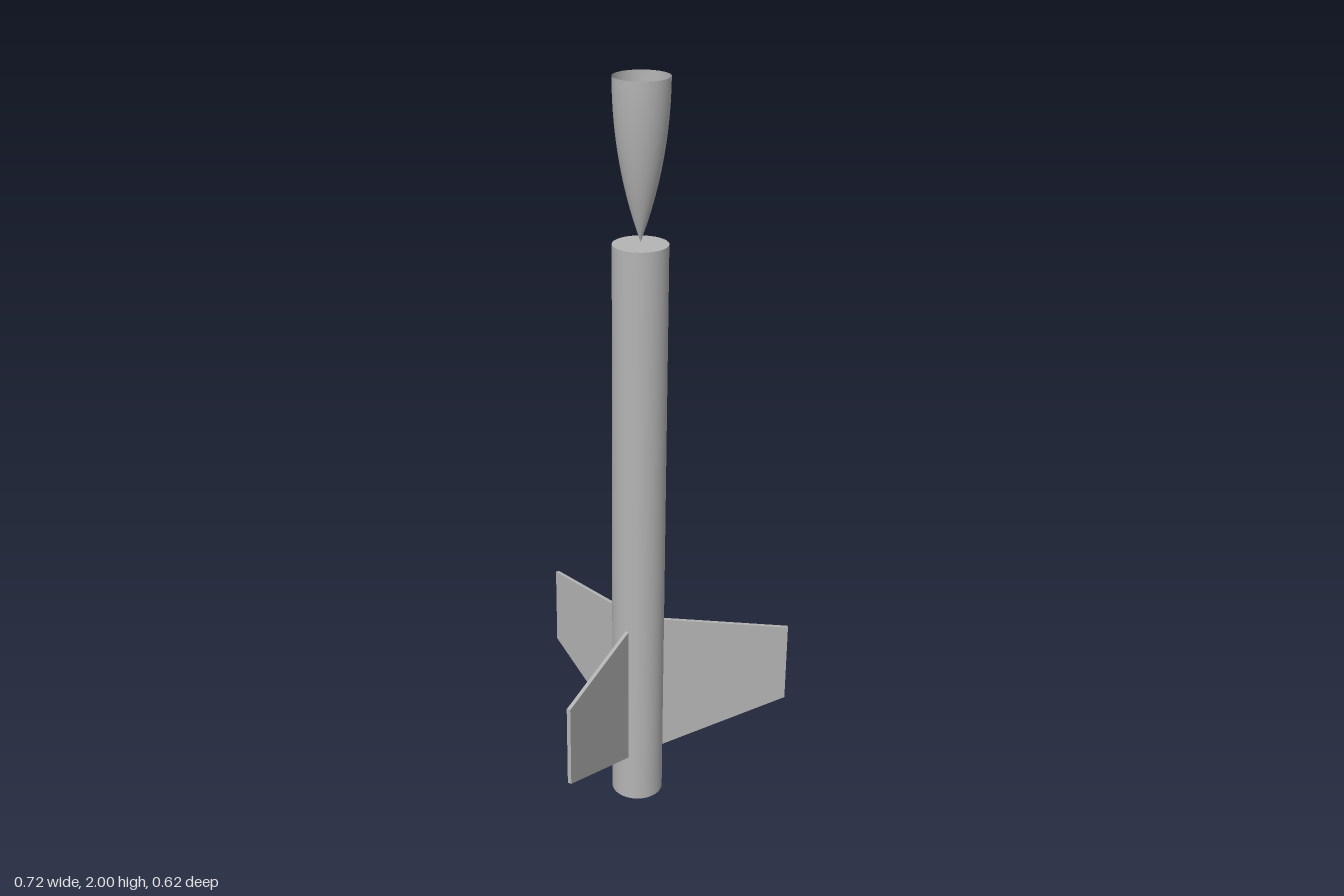
import * as THREE from 'three';

const RADIUS = 0.07;
const BODY_HEIGHT = 1.595;

export function createModel() {
  const model = new THREE.Group();
  model.name = 'rocket';

  const grey = new THREE.MeshStandardMaterial({ color: 0xb4b4b4, side: THREE.DoubleSide });
  grey.name = 'grey';

  // The body axis sits forward of the centre; all parts hang on it
  const rocket = new THREE.Group();
  rocket.name = 'rocketAxis';
  rocket.position.z = 0.1;
  model.add(rocket);

  const add = (name, geometry, x = 0, y = 0, z = 0) => {
    const mesh = new THREE.Mesh(geometry, grey);
    mesh.name = name;
    mesh.position.set(x, y, z);
    rocket.add(mesh);
    return mesh;
  };

  // Body tube, closed at both ends
  add('bodyTube', new THREE.CylinderGeometry(RADIUS, RADIUS, BODY_HEIGHT, 64), 0, BODY_HEIGHT / 2);

  // Hollow ogive nose cone, point down and open at the top
  const length = 0.4;
  const arc = (RADIUS ** 2 + length ** 2) / (2 * RADIUS);
  const profile = [];
  for (let i = 0; i <= 24; i++) {
    const y = (length * i) / 24;
    const r = Math.sqrt(arc ** 2 - (length - y) ** 2) - (arc - RADIUS);
    profile.push(new THREE.Vector2(Math.max(r, 0), y));
  }
  add('noseCone', new THREE.LatheGeometry(profile, 64), 0, 1.6);

  // Three swept fins, 120 degrees apart
  const thickness = 0.01;
  const outline = new THREE.Shape([
    new THREE.Vector2(RADIUS - 0.001, 0.135),
    new THREE.Vector2(0.41, 0.275),
    new THREE.Vector2(0.41, 0.5),
    new THREE.Vector2(RADIUS - 0.001, 0.54),
  ]);
  const finGeometry = new THREE.ExtrudeGeometry(outline, { depth: thickness, bevelEnabled: false });
  finGeometry.translate(0, 0, -thickness / 2);
  ['backFin', 'rightFin', 'leftFin'].forEach((name, i) => {
    add(name, finGeometry).rotation.y = Math.PI / 2 + (i * Math.PI * 2) / 3;
  });

  // Launch lug on the left side
  add('launchLug', new THREE.CylinderGeometry(0.012, 0.012, 0.17, 32), 0.079, 0.35);

  return model;
}
